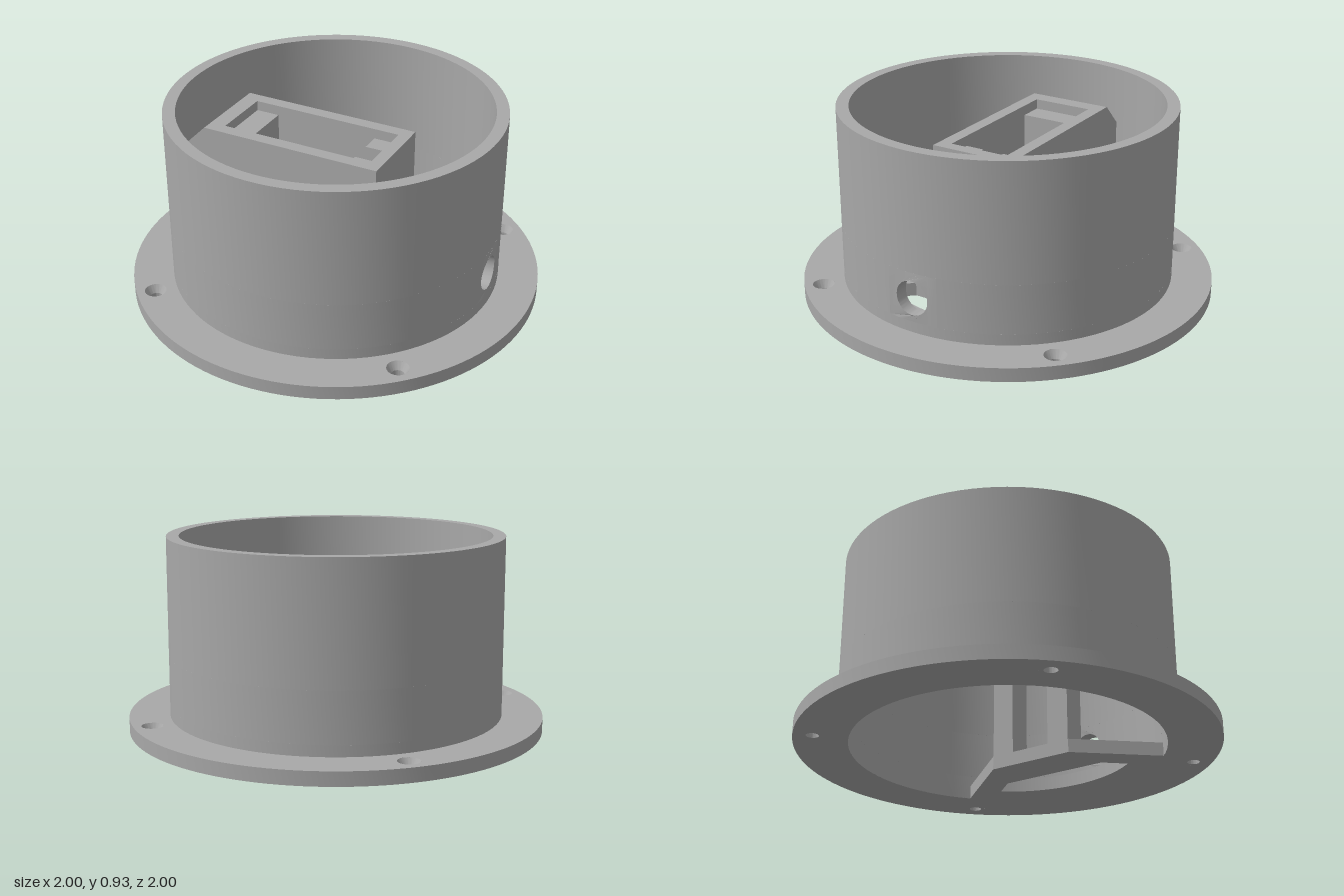
import * as THREE from 'three';
import { toCreasedNormals } from 'three/addons/utils/BufferGeometryUtils.js';

const OUTER = 0.805, INNER = 0.745, PLATE = 0.067, TOP = 0.93;
const BOX_TOP = 0.76, BOX_LOW = 0.5, BOX_Z = 0.213, BOX_END = 0.315, CAVITY_Z = 0.15;

export function createModel() {
  const group = new THREE.Group();
  const grey = new THREE.MeshStandardMaterial({ color: 0xa8a8a8 });
  grey.name = 'grey plastic';

  const add = (name, geometry) => {
    const mesh = new THREE.Mesh(toCreasedNormals(geometry, 0.5), grey);
    mesh.name = name;
    group.add(mesh);
    return mesh;
  };
  const block = (name, x0, x1, y0, y1, z0, z1) => add(name,
    new THREE.BoxGeometry(x1 - x0, y1 - y0, z1 - z0)
      .translate((x0 + x1) / 2, (y0 + y1) / 2, (z0 + z1) / 2));
  const polygon = (points) => new THREE.Shape(points.map(([x, y]) => new THREE.Vector2(x, y)));
  // side profile in x and y, pushed from z0 to z1
  const profile = (name, points, z0, z1) => add(name,
    new THREE.ExtrudeGeometry(polygon(points), { depth: z1 - z0, bevelEnabled: false }).translate(0, 0, z0));
  const lathe = (points, segments, start = 0, length = Math.PI * 2) =>
    new THREE.LatheGeometry(points.map(([r, y]) => new THREE.Vector2(r, y)), segments, start, length);

  // flange with a floor web on the +x side, its window and the screw holes
  const flange = new THREE.Shape().absarc(0, 0, 1, 0, Math.PI * 2);
  const a = Math.atan2(0.565, 0.487);
  const opening = new THREE.Path().absarc(0, 0, INNER, a, Math.PI * 2 - a);
  opening.lineTo(0.19, -0.215).lineTo(0.19, 0.215).closePath();
  const b = Math.atan2(0.37, 0.485);
  const windowHole = new THREE.Path().absarc(0, 0, 0.61, -b, b);
  windowHole.lineTo(0.4, 0.272).lineTo(0.4, -0.272).closePath();
  flange.holes.push(opening, windowHole);
  const corners = [[1, 1], [1, -1], [-1, -1], [-1, 1]].map(([x, z]) => [x * 0.643, z * 0.643]);
  for (const [x, z] of corners) {
    flange.holes.push(new THREE.Path().absarc(x, z, 0.052, 0, Math.PI * 2));
  }
  add('flange', new THREE.ExtrudeGeometry(flange, { depth: PLATE, bevelEnabled: false, curveSegments: 64 })
    .rotateX(-Math.PI / 2));

  // countersinks
  for (const [x, z] of corners) {
    add('countersink', lathe([[0.052, PLATE], [0.03, 0.03], [0.03, 0], [0.052, 0]], 48).translate(x, 0, z));
  }

  // round wall, in bands so the cable hole can sit in the middle one
  const band = (y0, y1) => [[INNER, y0], [OUTER, y0], [OUTER, y1], [INNER, y1], [INNER, y0]];
  const H0 = 0.12, H1 = 0.36, half = 0.16;
  add('lowerWall', lathe(band(0.001, H0), 96));
  add('upperWall', lathe(band(H1, TOP), 96));
  add('middleWall', lathe(band(H0, H1), 92, Math.PI / 2 + half, Math.PI * 2 - 2 * half));

  // bent wall patch with the cable hole
  const w = half * OUTER, steps = 6, edge = [];
  for (let i = 0; i <= steps; i++) edge.push([-w + (2 * w * i) / steps, H0]);
  for (let i = 0; i <= steps; i++) edge.push([w - (2 * w * i) / steps, H1]);
  const patchShape = polygon(edge);
  patchShape.holes.push(new THREE.Path().absarc(0, 0.235, 0.083, 0, Math.PI * 2));
  const patch = new THREE.ExtrudeGeometry(patchShape,
    { depth: OUTER - INNER, bevelEnabled: false, curveSegments: 32 });
  const p = patch.attributes.position;
  for (let i = 0; i < p.count; i++) {
    const angle = p.getX(i) / OUTER, r = INNER + p.getZ(i);
    p.setXYZ(i, r * Math.cos(angle), p.getY(i), -r * Math.sin(angle));
  }
  patch.computeVertexNormals();
  add('cableHoleWall', patch);

  // holder side walls, running into sloped brackets at the -x wall
  const side = [[-0.76, 0.26], [-0.52, BOX_LOW], [BOX_END, BOX_LOW], [BOX_END, BOX_TOP],
    [-0.6, BOX_TOP], [-0.76, 0.6]];
  const bracket = [[-0.76, 0.26], [-0.52, BOX_LOW], [-0.52, BOX_TOP], [-0.6, BOX_TOP], [-0.76, 0.6]];
  profile('holderSide', side, CAVITY_Z, BOX_Z);
  profile('holderSide', side, -BOX_Z, -CAVITY_Z);
  profile('holderBracket', bracket, -CAVITY_Z, CAVITY_Z);
  block('holderEnd', 0.255, BOX_END, BOX_LOW, BOX_TOP, -CAVITY_Z, CAVITY_Z);

  // ledges inside the holder, the +x one notched for the cable
  block('ledge', -0.52, -0.4, BOX_LOW, 0.71, -CAVITY_Z, CAVITY_Z);
  block('notchBack', 0.235, 0.255, BOX_LOW, 0.71, -0.055, 0.055);
  for (const s of [-1, 1]) {
    const z = [s * 0.055, s * CAVITY_Z].sort((m, n) => m - n);
    block('notchedLedge', 0.13, 0.255, BOX_LOW, 0.71, z[0], z[1]);
    // legs from the floor web up to the holder, leaving a cable passage
    const l = [s * 0.1, s * BOX_Z].sort((m, n) => m - n);
    block('supportLeg', 0.19, BOX_END, PLATE, BOX_LOW, l[0], l[1]);
  }
  return group;
}
